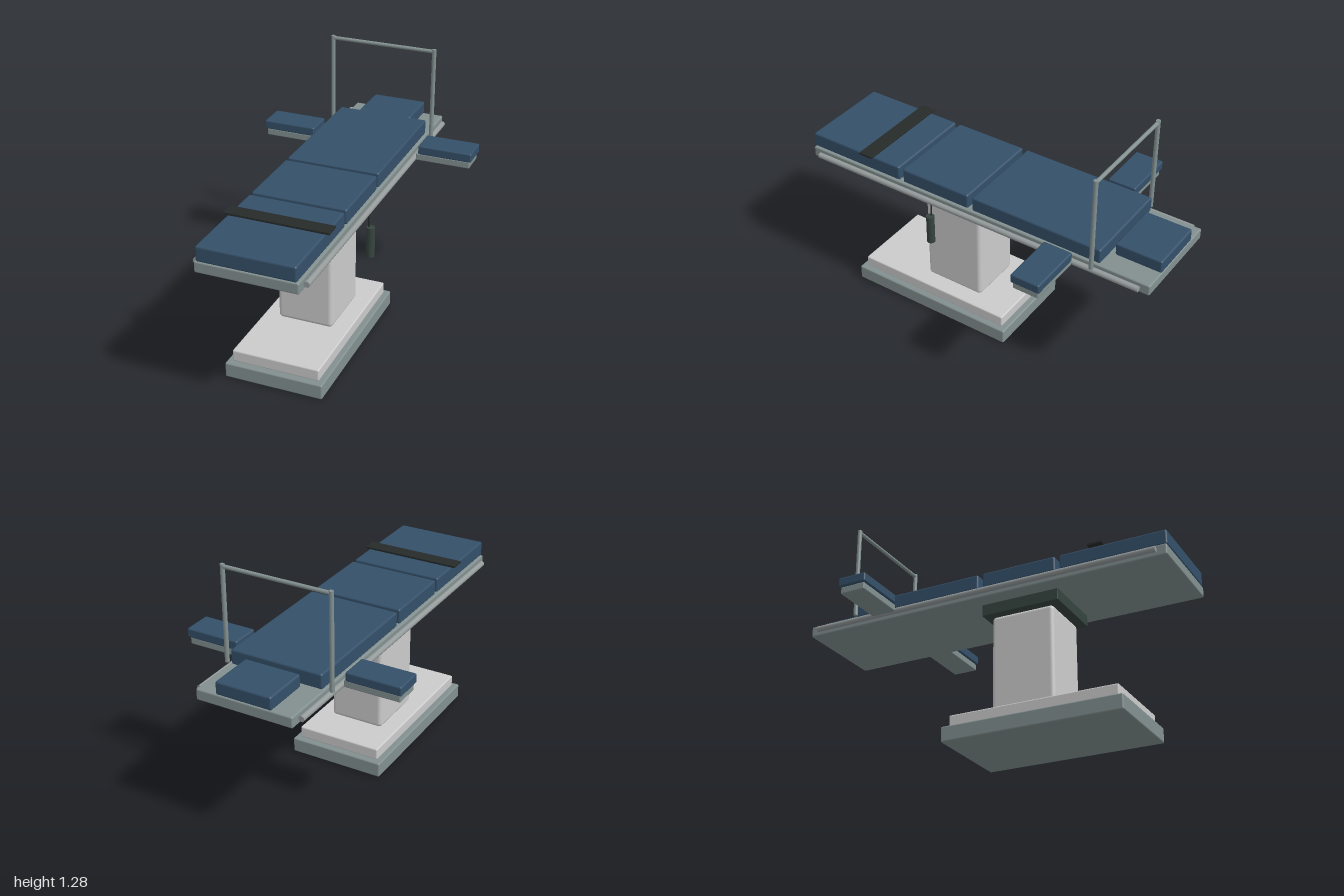
import * as THREE from 'three';
import { RoundedBoxGeometry } from 'three/addons/geometries/RoundedBoxGeometry.js';

const mat = (color) => new THREE.MeshStandardMaterial({ color });

export function createModel() {
  const group = new THREE.Group();
  const grey = mat(0xcccccc), steel = mat(0x839090), pad = mat(0x345069);
  const dark = mat(0x36443f), black = mat(0x262b2a), rail = mat(0x959b9b);

  // Box given by its ranges on x, y and z, with softly rounded edges
  function box(name, material, [x0, x1], [y0, y1], [z0, z1], radius = 0.008) {
    const geo = new RoundedBoxGeometry(x1 - x0, y1 - y0, z1 - z0, 3, radius);
    const mesh = new THREE.Mesh(geo, material);
    mesh.position.set((x0 + x1) / 2, (y0 + y1) / 2, (z0 + z1) / 2);
    mesh.name = name;
    group.add(mesh);
  }

  // Round bar between two points
  function bar(name, material, from, to, radius) {
    const a = new THREE.Vector3(...from), b = new THREE.Vector3(...to);
    const mesh = new THREE.Mesh(new THREE.CylinderGeometry(radius, radius, a.distanceTo(b), 20), material);
    mesh.position.copy(a).lerp(b, 0.5);
    mesh.quaternion.setFromUnitVectors(new THREE.Vector3(0, 1, 0), b.sub(a).normalize());
    mesh.name = name;
    group.add(mesh);
  }

  // Pedestal
  box('base', steel, [-0.257, 0.257], [0, 0.08], [-0.197, 0.75]);
  box('plinth', grey, [-0.229, 0.229], [0.08, 0.143], [-0.168, 0.72]);
  box('column', grey, [-0.147, 0.147], [0.143, 0.663], [0.022, 0.36], 0.022);
  box('columnHead', dark, [-0.178, 0.178], [0.663, 0.725], [-0.016, 0.402], 0.003);

  // Table top and its mattress sections
  box('tableTop', steel, [-0.258, 0.258], [0.725, 0.783], [-1, 1]);
  box('legCushion', pad, [-0.248, 0.248], [0.783, 0.863], [0.443, 1], 0.01);
  box('seatCushion', pad, [-0.248, 0.248], [0.783, 0.863], [0.021, 0.42], 0.01);
  box('backCushion', pad, [-0.248, 0.248], [0.783, 0.863], [-0.73, -0.004], 0.01);
  box('headCushion', pad, [-0.149, 0.149], [0.783, 0.852], [-1, -0.753], 0.01);
  box('strap', black, [-0.268, 0.268], [0.863, 0.874], [0.602, 0.68], 0.001);

  // Side rails, arm boards and screen posts, mirrored
  for (const s of [-1, 1]) {
    const side = s > 0 ? 'left' : 'right';
    const span = (a, b) => (s > 0 ? [a, b] : [-b, -a]);
    bar(side + 'Rail', rail, [s * 0.273, 0.755, -0.95], [s * 0.273, 0.755, 0.95], 0.015);
    box(side + 'ArmBoard', steel, span(0.284, 0.578), [0.745, 0.783], [-0.6, -0.463], 0.006);
    box(side + 'ArmCushion', pad, span(0.298, 0.588), [0.783, 0.832], [-0.61, -0.455]);
    bar(side + 'ScreenPost', steel, [s * 0.287, 0.775, -0.706], [s * 0.287, 1.28, -0.706], 0.0115);
  }
  bar('screenCrossbar', steel, [-0.294, 1.268, -0.706], [0.294, 1.268, -0.706], 0.01);

  // Hand control hanging from the left rail
  bar('controlCord', black, [0.283, 0.75, 0.22], [0.285, 0.68, 0.22], 0.004);
  bar('handControl', dark, [0.294, 0.523, 0.22], [0.294, 0.683, 0.22], 0.021);

  return group;
}
